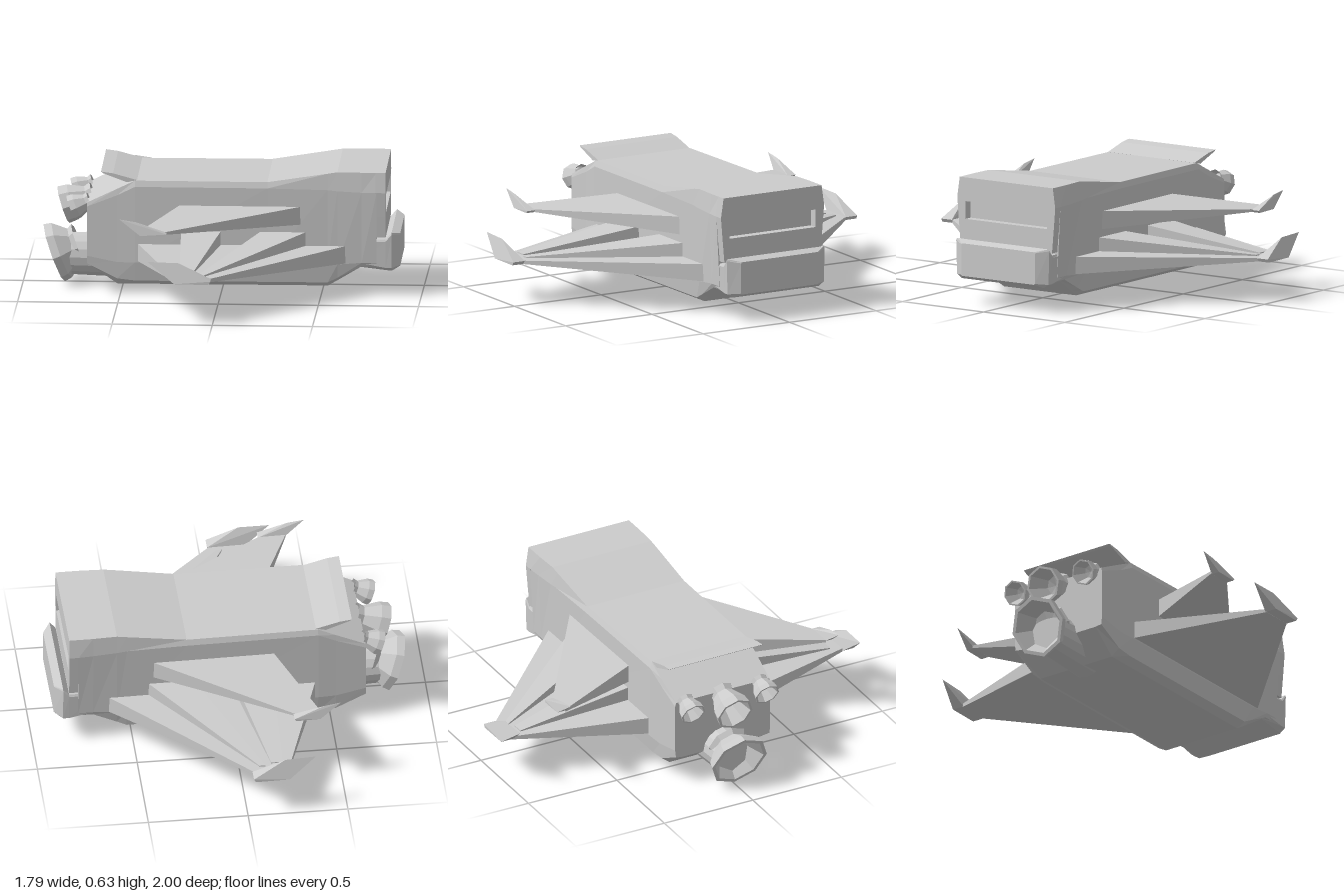
import * as THREE from 'three';
import { ConvexGeometry } from 'three/addons/geometries/ConvexGeometry.js';

const material = new THREE.MeshStandardMaterial({ color: 0xcccccc, flatShading: true, side: THREE.DoubleSide });

function add(parent, name, geometry) {
  const mesh = new THREE.Mesh(geometry, material);
  mesh.name = name;
  parent.add(mesh);
  return mesh;
}

// Faceted convex solid around a few corner points
const solid = (points) => new ConvexGeometry(points.map((p) => new THREE.Vector3(...p)));

// Rectangle of corners across x and y at a given z
const rectXY = (x0, x1, y0, y1, z) => [[x0, y0, z], [x1, y0, z], [x1, y1, z], [x0, y1, z]];

// Loft along x; each section is [x, [y, halfWidth] from bottom to top]
function loft(sections) {
  const rings = sections.map(([x, ...half]) => [
    ...half.map(([y, w]) => [x, y, w]),
    ...half.slice().reverse().map(([y, w]) => [x, y, -w]),
  ]);
  const n = rings[0].length;
  const out = [];
  const tri = (a, b, c) => out.push(...a, ...b, ...c);
  for (let i = 0; i < rings.length - 1; i++) {
    for (let j = 0; j < n; j++) {
      const k = (j + 1) % n;
      tri(rings[i][j], rings[i + 1][j], rings[i + 1][k]);
      tri(rings[i][j], rings[i + 1][k], rings[i][k]);
    }
  }
  const last = rings[rings.length - 1];
  for (let j = 1; j < n - 1; j++) {
    tri(rings[0][0], rings[0][j], rings[0][j + 1]);
    tri(last[0], last[j + 1], last[j]);
  }
  const g = new THREE.BufferGeometry();
  g.setAttribute('position', new THREE.Float32BufferAttribute(out, 3));
  g.computeVertexNormals();
  return g;
}

// Eight-sided open bell whose lip is centred on x, y, z and tips slightly down
function nozzle(parent, name, x, y, z, r, length, tilt) {
  const profile = [
    [0, length * 0.75], [r * 0.5, length * 0.7], [r * 0.88, 0], [r, 0],
    [r * 0.95, length * 0.3], [r * 0.6, length * 0.8], [r * 0.7, length],
  ].map(([a, b]) => new THREE.Vector2(a, b));
  const bell = add(parent, name, new THREE.LatheGeometry(profile, 8));
  bell.rotation.z = -Math.PI / 2 + tilt;
  bell.position.set(x, y, z);
}

export function createModel() {
  const model = new THREE.Group();
  model.name = 'spacecraft';
  const ship = new THREE.Group();
  ship.name = 'ship';
  ship.rotation.y = 0.01;
  model.add(ship);

  // Main fuselage
  add(ship, 'fuselage', loft([
    [-0.67, [0.145, 0.23], [0.15, 0.265], [0.19, 0.27], [0.44, 0.27], [0.46, 0.265]],
    [-0.52, [0.04, 0.22], [0.075, 0.265], [0.16, 0.275], [0.5, 0.275], [0.532, 0.27]],
    [-0.43, [0.04, 0.22], [0.065, 0.265], [0.16, 0.28], [0.545, 0.28], [0.575, 0.27]],
    [0.23, [0.04, 0.22], [0.065, 0.265], [0.16, 0.28], [0.545, 0.285], [0.575, 0.275]],
    [0.53, [0.04, 0.22], [0.065, 0.265], [0.16, 0.28], [0.54, 0.288], [0.622, 0.28]],
    [0.58, [0.07, 0.225], [0.09, 0.265], [0.16, 0.28], [0.535, 0.29], [0.63, 0.28]],
    [0.70, [0.145, 0.23], [0.15, 0.27], [0.17, 0.28], [0.53, 0.295], [0.63, 0.285]],
    [0.775, [0.145, 0.23], [0.15, 0.27], [0.17, 0.28], [0.53, 0.3], [0.63, 0.285]],
  ]));

  // Front frame around the recessed window slot
  const frame = new THREE.Shape([
    [-0.28, 0.3], [0.28, 0.3], [0.29, 0.41], [0.3, 0.53], [0.285, 0.63],
    [-0.285, 0.63], [-0.3, 0.53], [-0.29, 0.41],
  ].map((p) => new THREE.Vector2(...p)));
  frame.holes.push(new THREE.Path([
    [-0.25, 0.42], [-0.25, 0.51], [0.25, 0.51], [0.25, 0.42],
  ].map((p) => new THREE.Vector2(...p))));
  const frameMesh = add(ship, 'windowFrame', new THREE.ExtrudeGeometry(frame, { depth: 0.05, bevelEnabled: false }));
  frameMesh.rotation.y = Math.PI / 2;
  frameMesh.position.x = 0.77;

  // Blunt nose block under the window
  add(ship, 'noseBlock', loft([
    [0.68, [0.145, 0.25], [0.17, 0.275], [0.27, 0.28], [0.285, 0.27]],
    [0.82, [0.128, 0.25], [0.145, 0.28], [0.28, 0.285], [0.29, 0.28]],
    [0.85, [0.125, 0.25], [0.145, 0.28], [0.315, 0.285], [0.325, 0.28]],
    [0.89, [0.145, 0.22], [0.15, 0.225], [0.305, 0.225], [0.31, 0.22]],
  ]));

  // Full-width plate at the rear of the roof
  add(ship, 'rearSpoiler', solid([-0.265, 0.265].flatMap((z) => [
    [-0.42, 0.577, z], [-0.54, 0.61, z], [-0.6, 0.618, z], [-0.59, 0.61, z], [-0.47, 0.565, z],
  ])));

  for (const s of [1, -1]) {
    const side = s > 0 ? 'left' : 'right';
    const part = (name, pts) => add(ship, side + name, solid(pts.map(([x, y, z]) => [x, y, z * s])));

    // Lower wing with two raised ribs converging on the tip
    part('LowerWing', [
      ...rectXY(-0.42, 0.64, 0.165, 0.255, 0.26),
      ...rectXY(-0.2, -0.03, 0.205, 0.222, 0.94),
    ]);
    part('FrontRib', [
      ...rectXY(0.2, 0.43, 0.2, 0.325, 0.27),
      ...rectXY(-0.09, -0.06, 0.21, 0.23, 0.9),
    ]);
    part('RearRib', [
      ...rectXY(-0.2, 0, 0.2, 0.325, 0.27),
      ...rectXY(-0.18, -0.12, 0.21, 0.23, 0.88),
    ]);
    part('LowerWinglet', [
      ...[[-0.2, 0.207], [-0.03, 0.205], [-0.02, 0.222]].flatMap(([x, y]) => [[x, y, 0.935], [x, y, 1.0]]),
      [-0.335, 0.312, 0.965], [-0.18, 0.308, 0.97],
    ]);

    // Upper wing, swept back
    part('UpperWing', [
      ...rectXY(-0.2, 0.43, 0.36, 0.455, 0.26),
      ...rectXY(-0.39, -0.26, 0.402, 0.415, 0.74),
    ]);
    part('UpperWinglet', [
      ...[[-0.38, 0.403], [-0.26, 0.4], [-0.25, 0.412]].flatMap(([x, y]) => [[x, y, 0.735], [x, y, 0.78]]),
      [-0.485, 0.483, 0.762], [-0.4, 0.47, 0.764],
    ]);

    nozzle(ship, side + 'SmallNozzle', -0.75, 0.42, 0.21 * s, 0.066, 0.1, 0.4);
  }

  // Main engine housing, its bell and the middle bell above
  const housing = add(ship, 'mainEngineHousing', new THREE.CylinderGeometry(0.12, 0.105, 0.34, 16));
  housing.rotation.z = -Math.PI / 2;
  housing.position.set(-0.6, 0.144, 0);
  nozzle(ship, 'mainNozzle', -0.845, 0.145, 0, 0.155, 0.13, 0.36);
  nozzle(ship, 'middleNozzle', -0.8, 0.39, 0, 0.098, 0.16, 0.32);

  return model;
}
